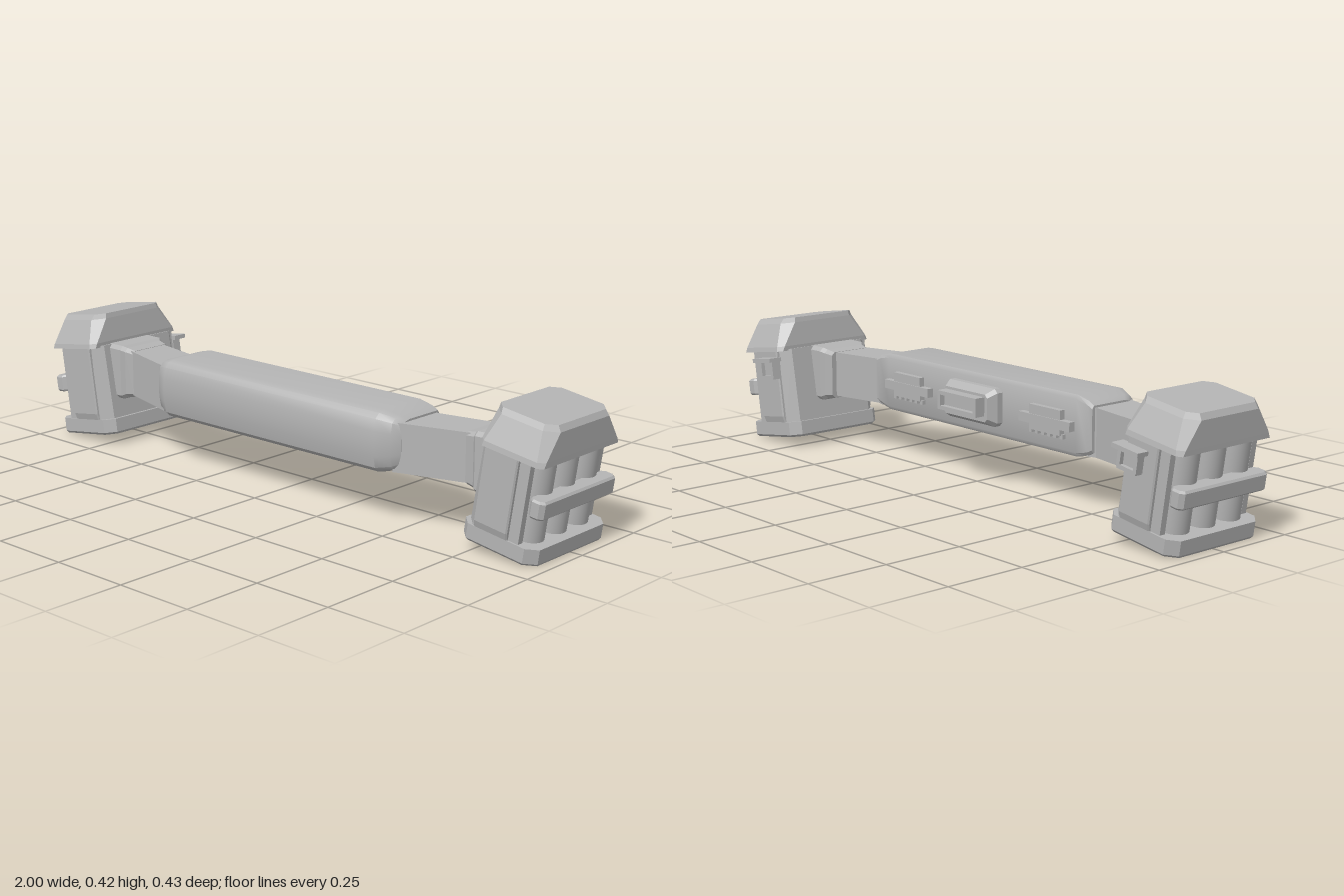
import * as THREE from 'three';
import { toCreasedNormals } from 'three/addons/utils/BufferGeometryUtils.js';

const TILT = 0.149; // outward lean of the end pods

// Closed skin over rings whose points run counter-clockwise about the loft direction
function loft(rings) {
  const n = rings[0].length, idx = [];
  rings.slice(1).forEach((_, r) => {
    for (let j = 0; j < n; j++) {
      const a = r * n + j, b = r * n + (j + 1) % n;
      idx.push(a, b, b + n, a, b + n, a + n);
    }
  });
  const top = (rings.length - 1) * n;
  for (let j = 1; j < n - 1; j++) idx.push(0, j + 1, j, top, top + j, top + j + 1);
  const g = new THREE.BufferGeometry();
  g.setAttribute('position', new THREE.Float32BufferAttribute(rings.flat(2), 3));
  g.setIndex(idx);
  return g;
}

// Upright block with chamfered corners; level = [y, x0, x1, half depth, chamfer]
function chamferBlock(levels, s = 1) {
  const g = loft(levels.map(([y, a, b, d, c]) => {
    const x0 = s > 0 ? a : -b, x1 = s > 0 ? b : -a;
    return [[x1, y, d - c], [x1, y, c - d], [x1 - c, y, -d], [x0 + c, y, -d],
      [x0, y, c - d], [x0, y, d - c], [x0 + c, y, d], [x1 - c, y, d]];
  })).toNonIndexed();
  g.computeVertexNormals();
  return g;
}

export function createModel() {
  const grey = new THREE.MeshStandardMaterial({ color: 0xb4b4b4 });
  grey.name = 'grey';
  const model = new THREE.Group();
  model.name = 'beltDevice';

  const add = (parent, name, geometry, x = 0, y = 0, z = 0) => {
    const m = new THREE.Mesh(geometry, grey);
    m.name = name;
    m.position.set(x, y, z);
    parent.add(m);
    return m;
  };
  const box = (parent, name, w, h, d, x, y, z) =>
    add(parent, name, new THREE.BoxGeometry(w, h, d), x, y, z);

  // Central bar: soft bulging section that narrows at both ends
  const section = [[.338, .008], [.338, .165], [.333, .188], [.318, .203], [.283, .21], [.247, .212],
    [.21, .21], [.175, .203], [.161, .188], [.156, .165], [.156, .008], [.168, 0], [.326, 0]];
  const stations = [[-.495, .76, .79], [-.475, .88, .9], [-.43, 1, 1], [.43, 1, 1], [.475, .88, .9], [.495, .76, .79]];
  add(model, 'centralBar', toCreasedNormals(loft(stations.map(([x, ky, kz]) =>
    section.map(([y, z]) => [x, .247 + (y - .247) * ky, z * kz + .004 * (1 - kz)]))), 0.6));

  // Centre latch on the back of the bar
  const latch = chamferBlock([[-.005, -.115, .115, .058, .012], [.02, -.115, .115, .058, .012],
    [.048, -.1, .1, .042, .01]]);
  latch.rotateX(-Math.PI / 2);
  add(model, 'latchBase', latch, 0, .25, 0);
  box(model, 'latchTopLip', .175, .012, .045, 0, .278, -.061);
  box(model, 'latchBottomLip', .175, .012, .045, 0, .232, -.061);
  for (const s of [-1, 1]) box(model, 'latchSide', .012, .04, .045, s * .0815, .255, -.061);
  box(model, 'latchCore', .16, .04, .022, 0, .255, -.055);

  for (const s of [-1, 1]) {
    // Low rail with a raised plate and small teeth beneath
    box(model, 'railPlate', .13, .075, .02, s * .317, .25, -.008);
    box(model, 'rail', .215, .028, .023, s * .317, .245, -.0095);
    for (let i = 0; i < 6; i++)
      box(model, 'railTooth', .012, .014, .014, s * .317 + (i - 2.5) * .026, .209, -.006);

    // Slanted arm between bar and pod
    const arm = [[.47, .005, .175], [.50, .013, .165], [.72, -.03, .102]].map(([x, z0, z1]) =>
      [[s * x, .31, z0], [s * x, .31, z1], [s * x, .165, z1], [s * x, .165, z0]]);
    const armGeo = loft(s > 0 ? arm : arm.reverse()).toNonIndexed();
    armGeo.computeVertexNormals();
    add(model, 'arm', armGeo);

    // Stepped collar where the arm meets the pod
    const collar = chamferBlock([[-.07, -.088, .088, .092, .012], [.018, -.088, .088, .092, .012],
      [.03, -.082, .082, .082, .012], [.062, -.076, .076, .076, .01]]);
    collar.rotateZ(s * Math.PI / 2);
    add(model, 'collar', collar, s * .742, .235, .037);

    // Leaning end pod
    const pod = new THREE.Group();
    pod.name = s > 0 ? 'leftPod' : 'rightPod';
    pod.position.set(s * .84, .0195, .01);
    pod.rotation.z = -s * TILT;
    model.add(pod);

    add(pod, 'podBase', chamferBlock([[0, -.122, .122, .172, .03], [.007, -.127, .126, .178, .03],
      [.05, -.127, .126, .178, .03]], s));
    add(pod, 'podBody', chamferBlock([[.05, -.114, .058, .174, .032], [.29, -.108, .058, .174, .032]], s));
    add(pod, 'podCover', chamferBlock([[.05, -.078, .036, .178, .004], [.07, -.078, .036, .184, .004],
      [.29, -.078, .036, .184, .004]], s));
    add(pod, 'podLid', chamferBlock([[.285, -.1, .112, .185, .014], [.300, -.102, .111, .182, .018],
      [.374, -.1, .105, .146, .034], [.39, -.098, .093, .135, .026]], s));

    // Three canisters held by a strap on the outer side
    for (const z of [-.102, 0, .102])
      add(pod, 'canister', new THREE.CylinderGeometry(.043, .043, .24, 28), s * .054, .168, z);
    add(pod, 'strap', chamferBlock([[.138, .082, .123, .168, .01], [.144, .08, .129, .173, .012],
      [.186, .08, .129, .173, .012], [.192, .082, .123, .168, .01]], s));
    for (const z of [-.162, .162]) box(pod, 'canisterPost', .04, .24, .02, s * .05, .168, z);

    // Belt clip on the back
    const clip = new THREE.Group();
    clip.name = 'clip';
    clip.position.set(s * -.046, .23, -.18);
    pod.add(clip);
    box(clip, 'clipTop', .098, .013, .046, 0, .03, -.022);
    box(clip, 'clipBottom', .07, .012, .03, 0, -.028, -.014);
    for (const k of [-1, 1]) box(clip, 'clipSide', .012, .06, .03, k * .031, 0, -.014);
    box(clip, 'clipCore', .06, .05, .016, 0, 0, -.008);
  }
  return model;
}
